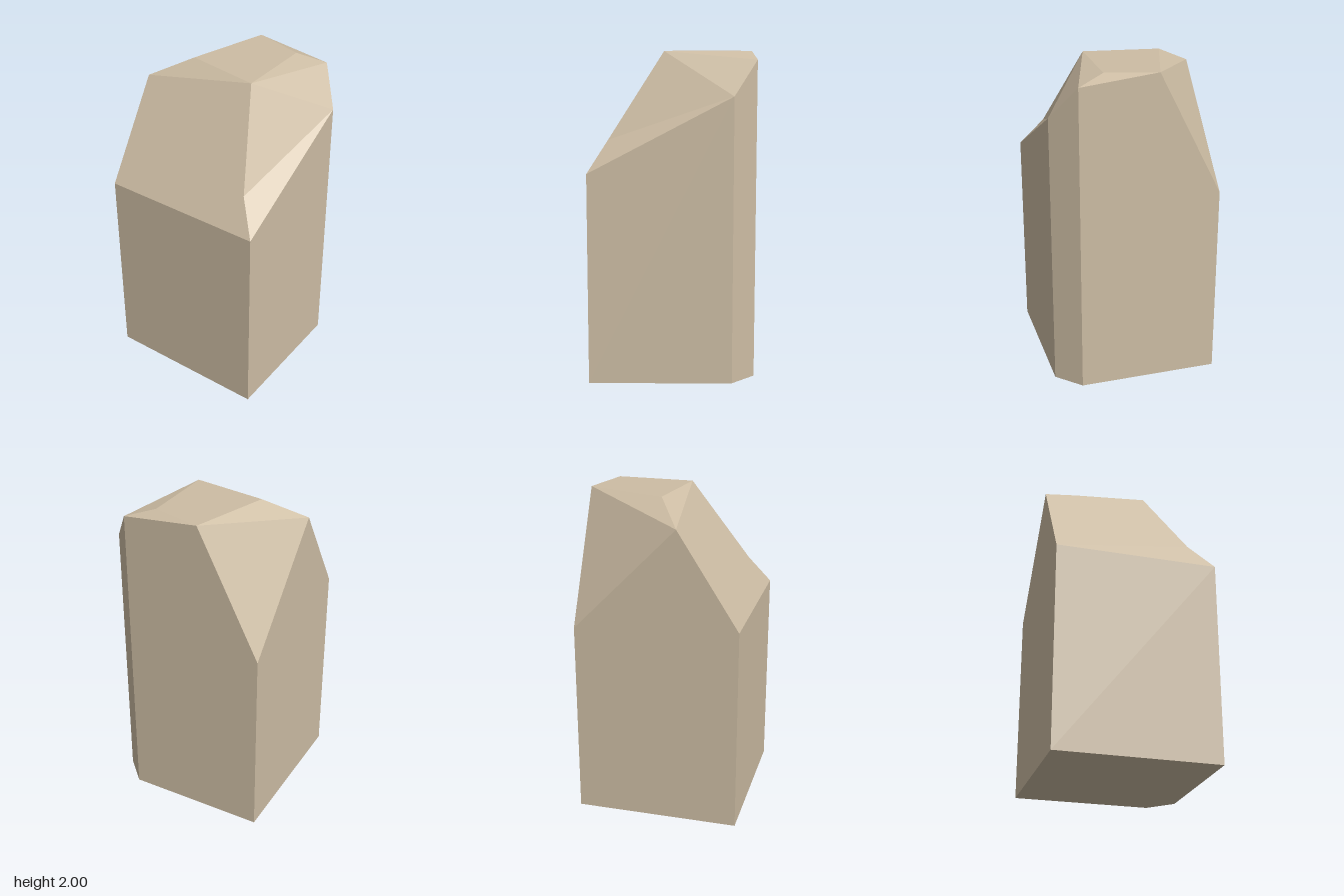
import * as THREE from 'three';

// Corner points of the cut stone block
const P = {
  // foot
  bl: [-0.507, 0, -0.507], br: [0.507, 0, -0.507], fr2: [0.507, 0, 0.363], fr1: [0.363, 0, 0.507], fl: [-0.507, 0, 0.507],
  // tops of the walls
  BL: [-0.507, 1.285, -0.507], peak: [-0.13, 1.875, -0.507], BR: [0.507, 1.22, -0.507],
  ridge: [0.507, 2, -0.115], FR2: [0.507, 1.95, 0.363], FR1: [0.363, 1.74, 0.507], FL: [-0.507, 1.285, 0.507],
  // crown
  notch: [-0.385, 1.475, 0.375], topFL: [-0.05, 2, 0.19], topFR: [0.425, 2, 0.195], topB: [0.02, 2, -0.27],
};

// Flat facets as fans of triangles, each turned to face away from the core
function facets(list) {
  const pos = [];
  const core = new THREE.Vector3(0, 1, 0);
  const normal = new THREE.Vector3();
  for (const names of list) {
    const v = names.split(' ').map((n) => new THREE.Vector3(...P[n]));
    for (let i = 1; i < v.length - 1; i++) {
      const tri = new THREE.Triangle(v[0], v[i], v[i + 1]);
      tri.getNormal(normal);
      const outward = normal.dot(v[0].clone().sub(core)) > 0;
      const order = outward ? [v[0], v[i], v[i + 1]] : [v[0], v[i + 1], v[i]];
      order.forEach((p) => pos.push(p.x, p.y, p.z));
    }
  }
  const geo = new THREE.BufferGeometry();
  geo.setAttribute('position', new THREE.Float32BufferAttribute(pos, 3));
  geo.computeVertexNormals();
  return geo;
}

export function createModel() {
  const stone = new THREE.MeshStandardMaterial({ color: 0xcdbda4, flatShading: true });
  stone.name = 'sandstone';
  const group = new THREE.Group();
  group.name = 'stoneBlock';
  const add = (name, list) => {
    const mesh = new THREE.Mesh(facets(list), stone);
    mesh.name = name;
    group.add(mesh);
  };

  add('base', ['bl br fr2 fr1 fl']);

  // upright sides, with the chamfered front corner
  add('walls', [
    'fl fr1 FR1 FL',
    'fr1 fr2 FR2 FR1',
    'fr2 br BR ridge FR2',
    'br bl BL peak BR',
    'bl fl FL BL',
  ]);

  // sloping cuts around the crown
  add('slopes', [
    'BL FL notch topFL peak',
    'FL FR1 notch',
    'notch FR1 topFL',
    'FR1 FR2 topFL',
    'peak BR ridge',
  ]);

  // flat top and the shallow facets beside it
  add('crown', [
    'topB topFL topFR ridge',
    'topFL FR2 topFR',
    'topFR FR2 ridge',
    'peak topFL topB',
    'peak topB ridge',
  ]);

  return group;
}
